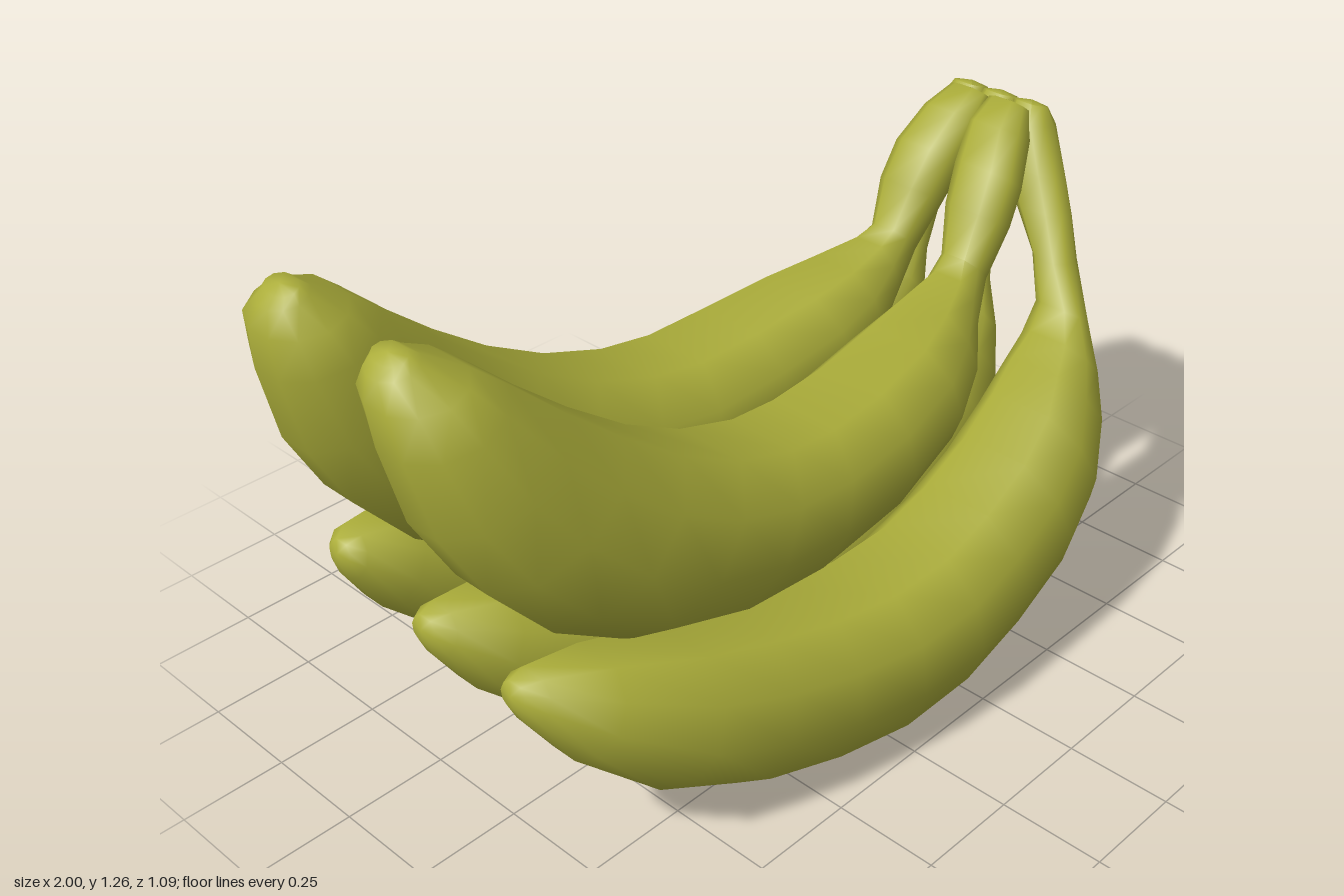
import * as THREE from 'three';
import { toCreasedNormals } from 'three/addons/utils/BufferGeometryUtils.js';

const skin = new THREE.MeshStandardMaterial({ color: 0xabad3a });

// Half cross-section (side, height), mirrored: narrow keel, full flanks, flat inner face
const half = [[0.27, -1], [0.75, -0.68], [1, -0.1], [0.9, 0.52], [0.48, 1]];
const section = [...half, ...half.map(([u, v]) => [-u, v]).reverse()];

// Stations from tip to stem: outer x, y, inner x, y, half width
const lowerStations = [
  [-0.86, 0.465, -0.845, 0.515, 0.035], [-0.845, 0.43, -0.81, 0.53, 0.065],
  [-0.78, 0.33, -0.68, 0.52, 0.12], [-0.6, 0.165, -0.48, 0.465, 0.165],
  [-0.4, 0.07, -0.32, 0.43, 0.18], [-0.2, 0.02, -0.16, 0.405, 0.185],
  [0, 0.003, 0, 0.4, 0.19], [0.2, 0.03, 0.16, 0.42, 0.19],
  [0.4, 0.09, 0.3, 0.465, 0.185], [0.58, 0.17, 0.44, 0.53, 0.18],
  [0.72, 0.28, 0.55, 0.6, 0.165], [0.81, 0.42, 0.63, 0.655, 0.135],
  [0.83, 0.55, 0.71, 0.69, 0.105], [0.85, 0.69, 0.765, 0.74, 0.07],
  [0.89, 0.82, 0.8, 0.83, 0.055], [0.935, 0.9, 0.84, 0.92, 0.075],
  [0.965, 0.97, 0.865, 1.0, 0.08], [1.0, 1.08, 0.9, 1.1, 0.06],
  [0.985, 1.12, 0.925, 1.14, 0.045],
];
const upperStations = [
  [-0.965, 1.23, -0.915, 1.25, 0.045], [-0.985, 1.21, -0.895, 1.235, 0.06],
  [-1.0, 1.16, -0.83, 1.2, 0.12], [-0.995, 1.07, -0.77, 1.15, 0.145],
  [-0.96, 0.9, -0.66, 1.05, 0.165], [-0.88, 0.75, -0.55, 0.96, 0.175],
  [-0.75, 0.6, -0.42, 0.87, 0.18], [-0.57, 0.49, -0.28, 0.8, 0.185],
  [-0.35, 0.42, -0.13, 0.757, 0.185], [-0.1, 0.4, 0, 0.748, 0.185],
  [0.18, 0.44, 0.16, 0.765, 0.18], [0.4, 0.51, 0.33, 0.795, 0.165],
  [0.52, 0.58, 0.45, 0.82, 0.13], [0.6, 0.67, 0.56, 0.845, 0.08],
  [0.69, 0.79, 0.61, 0.87, 0.06], [0.77, 0.9, 0.655, 0.97, 0.085],
  [0.82, 0.97, 0.71, 1.055, 0.09], [0.9, 1.06, 0.79, 1.125, 0.08],
  [0.915, 1.12, 0.86, 1.165, 0.055],
];

// Each fruit: sideways path along the stations, and how far its tip is raised
const fruits = [
  { name: 'lowerFrontBanana', stations: lowerStations, lift: 0,
    z: [0.165, 0.18, 0.22, 0.26, 0.285, 0.31, 0.335, 0.35, 0.35, 0.345, 0.33, 0.305, 0.28, 0.25, 0.19, 0.12, 0.07, 0.02, 0.01] },
  { name: 'lowerMiddleBanana', stations: lowerStations, lift: 0.015,
    z: [-0.11, -0.1, -0.08, -0.05, -0.02, 0, 0, 0, 0, 0, 0, -0.01, -0.02, -0.04, -0.06, -0.07, -0.075, -0.08, -0.08] },
  { name: 'lowerBackBanana', stations: lowerStations, lift: 0.07,
    z: [-0.38, -0.385, -0.39, -0.385, -0.37, -0.36, -0.35, -0.34, -0.33, -0.31, -0.285, -0.265, -0.25, -0.24, -0.225, -0.205, -0.195, -0.175, -0.17] },
  { name: 'upperFrontBanana', stations: upperStations, lift: -0.01,
    z: [0.01, 0.015, 0.035, 0.055, 0.08, 0.105, 0.13, 0.145, 0.15, 0.15, 0.15, 0.135, 0.115, 0.09, 0.07, 0.055, 0.04, 0.005, -0.005] },
  { name: 'upperBackBanana', stations: upperStations, lift: 0.01,
    z: [-0.31, -0.31, -0.315, -0.315, -0.31, -0.31, -0.3, -0.28, -0.26, -0.24, -0.22, -0.19, -0.165, -0.15, -0.145, -0.145, -0.14, -0.13, -0.12] },
];

function bananaGeometry({ stations, z, lift }) {
  const pos = [], index = [], n = section.length, last = stations.length - 1;
  const centre = (i, push) => {
    const [ox, oy, ix, iy] = stations[i];
    const raise = lift * (1 - i / last);
    // caps bulge slightly along the fruit's direction
    return [(ox + ix) / 2 + (iy - oy) * push, (oy + iy) / 2 + raise + (ox - ix) * push, z[i]];
  };
  stations.forEach(([ox, oy, ix, iy, w], i) => {
    const [cx, cy, cz] = centre(i, 0);
    for (const [u, v] of section) {
      pos.push(cx + (v * (ix - ox)) / 2, cy + (v * (iy - oy)) / 2, cz + u * w);
    }
  });
  // skin between stations
  for (let i = 0; i < last; i++) {
    for (let j = 0; j < n; j++) {
      const k = (j + 1) % n;
      const a = i * n + j, b = i * n + k, c = a + n, d = b + n;
      index.push(a, c, b, b, c, d);
    }
  }
  // tip and stem caps
  const tip = pos.length / 3;
  pos.push(...centre(0, -0.12), ...centre(last, 0.12));
  for (let j = 0; j < n; j++) {
    const k = (j + 1) % n;
    index.push(tip, j, k, tip + 1, last * n + k, last * n + j);
  }
  const geometry = new THREE.BufferGeometry();
  geometry.setAttribute('position', new THREE.Float32BufferAttribute(pos, 3));
  geometry.setIndex(index);
  return toCreasedNormals(geometry, 1.1);
}

export function createModel() {
  const bunch = new THREE.Group();
  bunch.name = 'bananaBunch';
  for (const fruit of fruits) {
    const mesh = new THREE.Mesh(bananaGeometry(fruit), skin);
    mesh.name = fruit.name;
    bunch.add(mesh);
  }
  return bunch;
}
